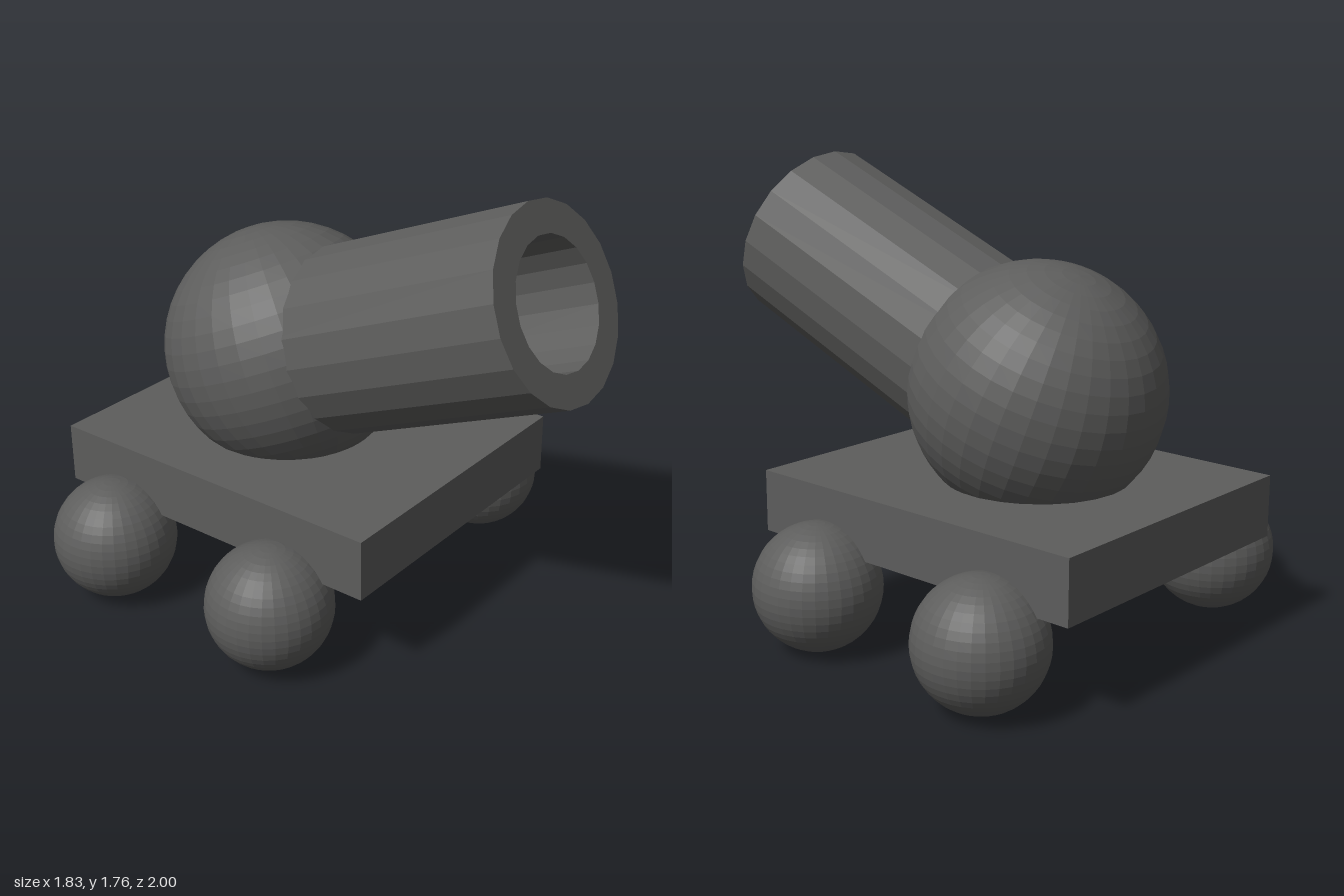
import * as THREE from 'three';

const TILT = Math.PI / 8; // barrel elevation

export function createModel() {
  const model = new THREE.Group();
  const material = new THREE.MeshStandardMaterial({ color: 0x5d5d5c, flatShading: true });

  function add(name, geometry, x, y, z) {
    const mesh = new THREE.Mesh(geometry, material);
    mesh.name = name;
    mesh.position.set(x, y, z);
    model.add(mesh);
    return mesh;
  }

  // Flat carriage slab
  add('carriage', new THREE.BoxGeometry(1.22, 0.24, 1.464), 0.01, 0.49, -0.268);

  // Ball wheels, the two sides slightly staggered
  const wheel = new THREE.SphereGeometry(0.243, 32, 24);
  for (const [side, x, shift] of [['left', 0.67, 0.02], ['right', -0.67, -0.018]]) {
    add(side + 'FrontWheel', wheel, x, 0.243, 0.112 + shift);
    add(side + 'RearWheel', wheel, x, 0.243, -0.69 + shift);
  }

  // Round breech sitting in the carriage
  const breech = add('breech', new THREE.SphereGeometry(0.486, 32, 24), -0.014, 0.94, -0.346);
  breech.rotation.x = -TILT;

  // Twenty-sided barrel with a flat-bottomed bore; its origin is the muzzle centre
  const profile = [
    [0, -1.1], [0.365, -1.1], [0.365, 0], [0.243, 0], [0.243, -0.44], [0, -0.44],
  ].map(([r, y]) => new THREE.Vector2(r, y));
  const barrel = add('barrel', new THREE.LatheGeometry(profile, 20), -0.014, 1.42, 0.86);
  barrel.rotation.x = Math.PI / 2 - TILT;

  return model;
}
